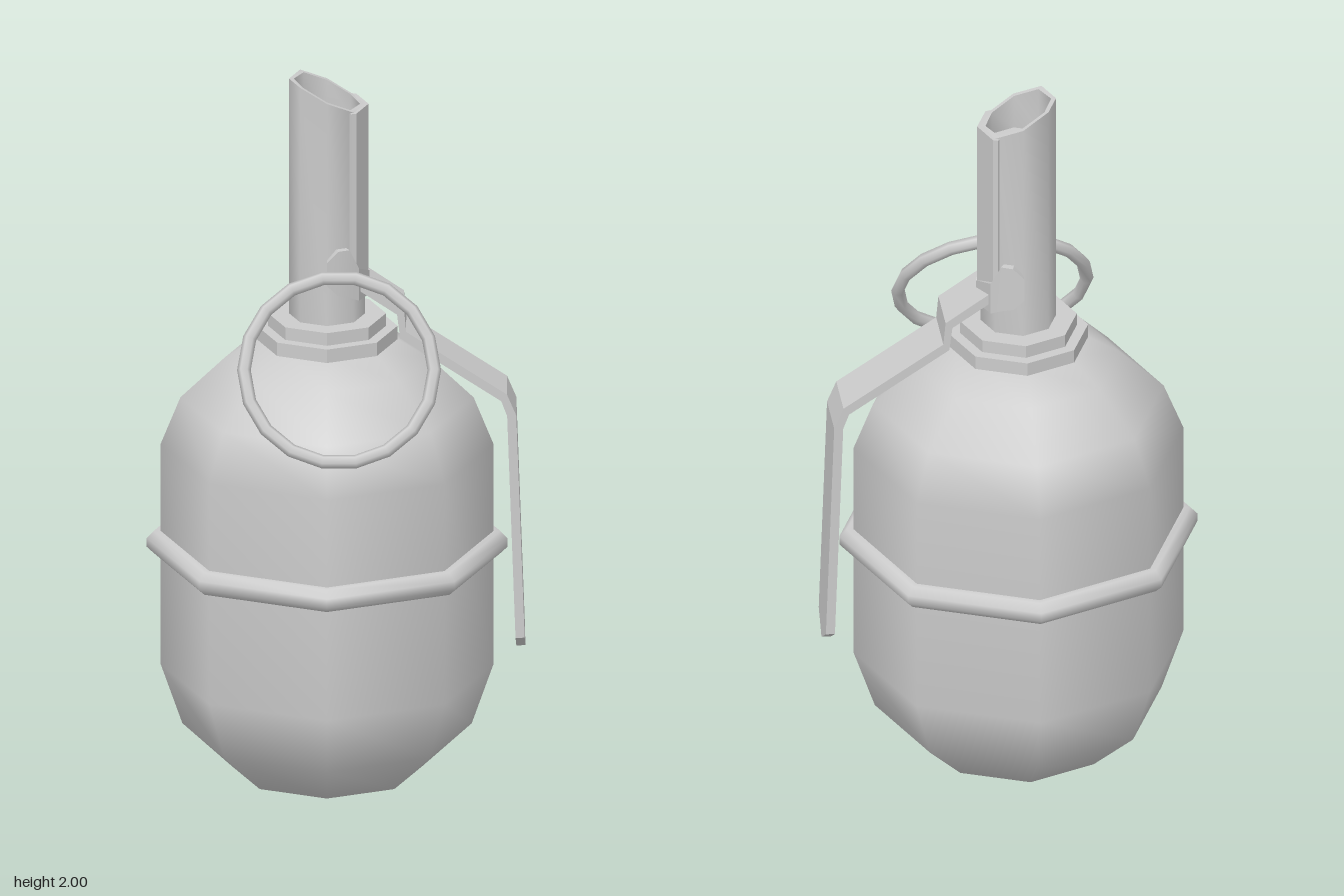
import * as THREE from 'three';
import { toCreasedNormals } from 'three/addons/utils/BufferGeometryUtils.js';

const AXIS = -0.025; // x of the body's vertical axis
const V = (x, y, z) => new THREE.Vector3(x, y, z);

function add(parent, name, geometry, flat = false) {
  const material = new THREE.MeshStandardMaterial({ color: 0xcccccc, flatShading: flat });
  const mesh = new THREE.Mesh(geometry, material);
  mesh.name = name;
  parent.add(mesh);
  return mesh;
}

// Closed solid through a row of cross-sections with equal point counts, capped at both ends.
function loft(sections, crease = 0.4) {
  const tris = [];
  const n = sections[0].length;
  for (let i = 0; i + 1 < sections.length; i++) {
    const a = sections[i], b = sections[i + 1];
    for (let j = 0; j < n; j++) {
      const k = (j + 1) % n;
      tris.push([a[j], a[k], b[k]], [a[j], b[k], b[j]]);
    }
  }
  const first = sections[0], last = sections[sections.length - 1];
  for (let j = 1; j + 1 < n; j++) {
    tris.push([first[0], first[j + 1], first[j]], [last[0], last[j], last[j + 1]]);
  }
  // Turn the faces outward when the signed volume is negative
  const volume = tris.reduce((s, [a, b, c]) => s + a.dot(b.clone().cross(c)), 0);
  const points = tris.flatMap(([a, b, c]) => (volume < 0 ? [a, c, b] : [a, b, c]));
  const g = new THREE.BufferGeometry().setFromPoints(points);
  g.computeVertexNormals();
  return toCreasedNormals(g, crease);
}

// Point around the body axis; angle 0 faces +x, 90 faces +z
function polar(r, deg, y) {
  const a = THREE.MathUtils.degToRad(deg);
  return V(AXIS + r * Math.cos(a), y, r * Math.sin(a));
}

// Curved strip round the axis: each entry is [degrees, inner r, outer r, bottom, top]
const wrap = (rows) => loft(rows.map(([a, r0, r1, y0, y1]) =>
  [polar(r0, a, y0), polar(r1, a, y0), polar(r1, a, y1), polar(r0, a, y1)]));

function octagon(r, yOf) {
  return Array.from({ length: 8 }, (_, i) => {
    const p = polar(r, i * 45, 0);
    p.y = yOf(p.x);
    return p;
  });
}

const lathe = (profile) => new THREE.LatheGeometry(
  profile.map(([r, y]) => new THREE.Vector2(r, y)), 8);

export function createModel() {
  const model = new THREE.Group();
  model.name = 'leverCanister';

  // Egg-shaped eight-sided body
  add(model, 'body', lathe([
    [0, 0.005], [0.25, 0.08], [0.38, 0.2], [0.437, 0.365], [0.437, 0.98],
    [0.385, 1.11], [0.27, 1.22], [0.165, 1.285], [0, 1.285],
  ])).position.x = AXIS;

  // Raised bead around the middle
  add(model, 'waistBead', lathe([
    [0.43, 0.675], [0.455, 0.675], [0.474, 0.693], [0.474, 0.717], [0.455, 0.737], [0.43, 0.737],
  ])).position.x = AXIS;

  // Stepped neck collars
  for (const [name, r, y0, y1] of [
    ['lowerCollar', 0.185, 1.265, 1.31], ['upperCollar', 0.155, 1.31, 1.345],
  ]) {
    add(model, name, new THREE.CylinderGeometry(r, r, y1 - y0, 8), true)
      .position.set(AXIS, (y0 + y1) / 2, 0);
  }

  // Hollow neck tube with a slanted mouth and a recessed floor
  const mouth = (x) => THREE.MathUtils.clamp(1.965 - (x - AXIS) * 0.5, 1.93, 2);
  add(model, 'neckTube', loft([
    octagon(0.1, () => 1.34), octagon(0.1, mouth),
    octagon(0.087, mouth), octagon(0.087, () => 1.87),
  ], 0.9));

  // Thin cover on the lever side of the tube
  add(model, 'tubeCover', wrap([-52, -45, 0, 45, 52].map(
    (a) => [a, 0.09, Math.abs(a) > 45 ? 0.104 : 0.109, 1.44, 1.93])));

  // Lever clip that hugs the tube, with rounded ears at both ends
  const half = [
    [90, 0.103, 0.125, 1.465, 1.53], [76, 0.1, 0.12, 1.435, 1.558],
    [60, 0.1, 0.118, 1.425, 1.558], [45, 0.1, 0.119, 1.41, 1.5], [0, 0.1, 0.112, 1.4, 1.465],
  ];
  const mirrored = half.slice(0, -1).reverse().map(([a, ...rest]) => [-a, ...rest]);
  add(model, 'leverClip', wrap([...half, ...mirrored]));

  // Bent strip lever with a pointed tip: [x, y, half width]
  const path = [
    [0.05, 1.455, 0.073], [0.168, 1.375, 0.073], [0.175, 1.31, 0.073], [0.44, 1.135, 0.073],
    [0.46, 1.085, 0.073], [0.482, 0.465, 0.073], [0.484, 0.42, 0.006],
  ];
  const t = 0.012;
  add(model, 'lever', loft(path.map(([x, y, w], i) => {
    const p = path[Math.max(i - 1, 0)], q = path[Math.min(i + 1, path.length - 1)];
    const d = new THREE.Vector2(q[0] - p[0], q[1] - p[1]).normalize();
    const nx = -d.y * t, ny = d.x * t;
    return [V(x + nx, y + ny, -w), V(x + nx, y + ny, w), V(x - nx, y - ny, w), V(x - nx, y - ny, -w)];
  }), 0.2));

  // Pull ring leaning against the shoulder
  const ring = add(model, 'pullRing', new THREE.TorusGeometry(0.25, 0.018, 6, 18));
  ring.position.set(0.007, 1.288, 0.282);
  ring.rotation.x = -0.565;

  return model;
}
